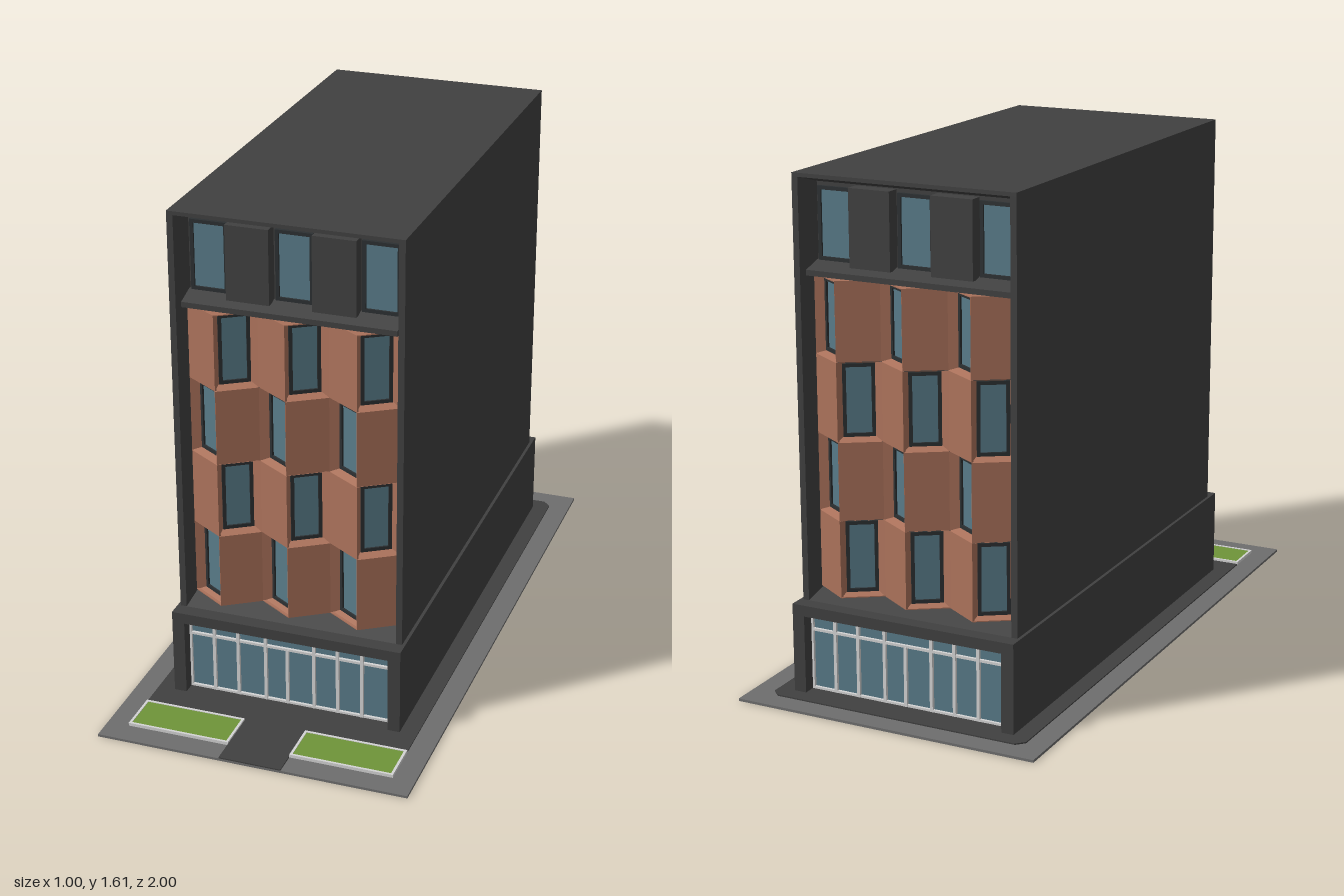
import * as THREE from 'three';

const mat = (name, color, side = THREE.FrontSide) =>
  Object.assign(new THREE.MeshStandardMaterial({ color, side }), { name });

const CZ = -0.093;     // middle of the building in z
const FRAME = 0.738;   // half depth of the upper block
const BASE = 0.785;    // half depth of the ground floor
const Y0 = 0.325, ROW = 0.245, ROWS = 4;
const HALF = 0.1117, RISE = 0.072;  // half pleat width and pleat height
const RIDGE = FRAME + 0.01, VALLEY = RIDGE - RISE;

export function createModel() {
  const M = {
    wall: mat('charcoal wall', 0x404040),
    lining: mat('charcoal lining', 0x404040, THREE.DoubleSide),
    frame: mat('dark window frame', 0x2c3032),
    clay: mat('terracotta', 0xaa715a),
    clayOpen: mat('terracotta reveal', 0xaa715a, THREE.DoubleSide),
    glass: mat('blue glass', 0x587a88),
    white: mat('white metal', 0xd4d4d4),
    paving: mat('grey paving', 0x6e6e6e),
    grass: mat('grass', 0x6f9439),
  };
  const model = new THREE.Group();

  const add = (parent, name, geo, material, x = 0, y = 0, z = 0) => {
    const m = new THREE.Mesh(geo, material);
    m.name = name;
    m.position.set(x, y, z);
    parent.add(m);
    return m;
  };
  // box given by its limits on each axis
  const box = (parent, name, material, x0, x1, y0, y1, z0, z1) =>
    add(parent, name, new THREE.BoxGeometry(x1 - x0, y1 - y0, z1 - z0), material,
      (x0 + x1) / 2, (y0 + y1) / 2, (z0 + z1) / 2);

  const polygon = pts => new THREE.Shape(pts.map(p => new THREE.Vector2(...p)));
  const rect = (x0, x1, y0, y1) => [[x0, y0], [x1, y0], [x1, y1], [x0, y1]];

  // four-sided lining from a front rectangle to a rear rectangle
  const liningGeo = (front, zf, rear, zr) => {
    const pos = [];
    for (let i = 0; i < 4; i++) {
      const j = (i + 1) % 4;
      const a = [...front[i], zf], b = [...front[j], zf];
      const c = [...rear[j], zr], d = [...rear[i], zr];
      pos.push(...a, ...b, ...c, ...a, ...c, ...d);
    }
    const g = new THREE.BufferGeometry();
    g.setAttribute('position', new THREE.Float32BufferAttribute(pos, 3));
    g.computeVertexNormals();
    return g;
  };

  // rectangular rim with an open middle, front face at z = depth
  const rimGeo = (w, h, t, depth) => {
    const s = polygon(rect(-w / 2, w / 2, -h / 2, h / 2));
    s.holes.push(new THREE.Path(
      rect(-w / 2 + t, w / 2 - t, -h / 2 + t, h / 2 - t).map(p => new THREE.Vector2(...p))));
    return new THREE.ExtrudeGeometry(s, { depth, bevelEnabled: false });
  };

  const windowUnit = (parent, w, h, x, y, z) => {
    const g = new THREE.Group();
    g.name = 'window';
    g.position.set(x, y, z);
    add(g, 'windowRim', rimGeo(w, h, 0.011, 0.01), M.frame);
    add(g, 'windowPane', new THREE.BoxGeometry(w - 0.01, h - 0.01, 0.006), M.glass, 0, 0, 0.001);
    parent.add(g);
  };

  // one pleated bay face: s = -1 faces left, s = 1 faces right
  const bayFace = (parent, x, y, s, hasWindow) => {
    const g = new THREE.Group();
    const L = Math.hypot(HALF, RISE);
    g.name = hasWindow ? 'windowBay' : 'claddingBay';
    g.position.set(x + s * HALF / 2, y, (RIDGE + VALLEY) / 2);
    g.rotation.y = s * Math.atan2(RISE, HALF);
    if (hasWindow) {
      const w = L - 0.036, h = ROW - 0.02;
      add(g, 'reveal', liningGeo(rect(-L / 2, L / 2, -ROW / 2, ROW / 2), 0,
        rect(-w / 2, w / 2, -h / 2, h / 2), -0.03), M.clayOpen);
      windowUnit(g, w, h, 0, 0, -0.034);
    } else {
      add(g, 'claddingPanel', new THREE.BoxGeometry(L, ROW - 0.002, 0.006), M.clay, 0, 0, -0.003);
    }
    parent.add(g);
  };

  const facade = (name, flip) => {
    const f = new THREE.Group();
    f.name = name;
    f.position.z = CZ;
    f.rotation.y = flip ? Math.PI : 0;

    // splayed lining of the big recess
    add(f, 'recessLining', liningGeo(rect(-0.345, 0.345, 0.295, 1.6), FRAME,
      rect(-0.335, 0.335, Y0, 1.575), FRAME - 0.09), M.lining);

    // pleated terracotta cladding, windows swapping sides on every row
    for (let r = 0; r < ROWS; r++)
      for (const c of [-1, 0, 1])
        for (const s of [-1, 1])
          bayFace(f, c * 2 * HALF, Y0 + (r + 0.5) * ROW, s,
            ((r % 2 === 1) === (s === 1)) !== flip);

    // zigzag caps closing the pleats at top and bottom
    const zig = [[3 * HALF, -(VALLEY - 0.05)], [-3 * HALF, -(VALLEY - 0.05)]];
    for (let i = -3; i <= 3; i++) zig.push([i * HALF, -(i % 2 === 0 ? RIDGE : VALLEY)]);
    for (const y of [Y0, Y0 + ROWS * ROW - 0.003]) {
      const g = new THREE.ExtrudeGeometry(polygon(zig), { depth: 0.003, bevelEnabled: false });
      add(f, 'pleatCap', g.rotateX(-Math.PI / 2), M.clay, 0, y, 0);
    }

    // sloping ledge below the top floor
    const sill = polygon([[-(FRAME - 0.1), 1.305], [-(FRAME - 0.1), 1.342],
      [-(FRAME - 0.085), 1.342], [-(FRAME - 0.02), 1.322], [-(FRAME - 0.02), 1.305]]);
    const sillGeo = new THREE.ExtrudeGeometry(sill, { depth: 0.672, bevelEnabled: false });
    add(f, 'ledge', sillGeo.rotateY(Math.PI / 2), M.wall, -0.336, 0, 0);

    // top floor
    box(f, 'topFloorWall', M.wall, -0.345, 0.345, 1.305, 1.6, FRAME - 0.17, FRAME - 0.09);
    for (const x of [-0.268, 0, 0.268]) windowUnit(f, 0.118, 0.222, x, 1.453, FRAME - 0.088);
    for (const x of [-0.135, 0.135])
      box(f, 'topFloorPier', M.wall, x - 0.068, x + 0.068, 1.335, 1.572, FRAME - 0.09, FRAME - 0.045);

    // ground floor opening
    for (const s of [-1, 1])
      add(f, 'baseJamb', new THREE.BoxGeometry(0.04, 0.295, 0.055), M.wall, s * 0.355, 0.1475, BASE - 0.0275);
    box(f, 'baseLintel', M.wall, -0.335, 0.335, 0.26, 0.295, BASE - 0.055, BASE);
    box(f, 'shopGlass', M.glass, -0.335, 0.335, 0.012, 0.26, BASE - 0.055, BASE - 0.049);
    add(f, 'shopRim', rimGeo(0.67, 0.248, 0.007, 0.012), M.white, 0, 0.136, BASE - 0.052);
    box(f, 'shopTransom', M.white, -0.335, 0.335, 0.202, 0.21, BASE - 0.052, BASE - 0.04);
    for (const x of [-0.252, -0.172, -0.08, -0.008, 0.08, 0.158, 0.238])
      box(f, 'shopMullion', M.white, x - 0.005, x + 0.005, 0.012, x === -0.008 ? 0.205 : 0.258,
        BASE - 0.052, BASE - 0.039);
    model.add(f);
  };

  // site
  box(model, 'groundSlab', M.paving, -0.5, 0.5, 0, 0.008, -1, 1);
  const pathShape = polygon([[-0.43, -0.78], [-0.1, -0.78], [-0.1, -1], [0.1, -1], [0.1, -0.78],
    [0.43, -0.78], [0.43, 0.905], [0.405, 0.93], [-0.405, 0.93], [-0.43, 0.905]]);
  const pathGeo = new THREE.ExtrudeGeometry(pathShape, { depth: 0.004, bevelEnabled: false });
  add(model, 'darkPath', pathGeo.rotateX(-Math.PI / 2), M.wall, 0, 0.008, 0);
  for (const s of [-1, 1]) {
    const kerb = rimGeo(0.33, 0.14, 0.008, 0.01).rotateX(-Math.PI / 2);
    add(model, 'lawnKerb', kerb, M.white, s * 0.265, 0.008, 0.855);
    add(model, 'lawn', new THREE.BoxGeometry(0.316, 0.008, 0.126), M.grass, s * 0.265, 0.012, 0.855);
  }

  // main volumes
  box(model, 'baseBlock', M.wall, -0.375, 0.375, 0.004, 0.295, CZ - BASE + 0.055, CZ + BASE - 0.055);
  box(model, 'core', M.wall, -0.346, 0.346, 0.295, 1.6, CZ - FRAME + 0.17, CZ + FRAME - 0.17);
  box(model, 'roof', M.wall, -0.365, 0.365, 1.6, 1.612, CZ - FRAME, CZ + FRAME);
  for (const s of [-1, 1])
    add(model, 'sideWall', new THREE.BoxGeometry(0.02, 1.305, 2 * FRAME), M.wall, s * 0.355, 0.9475, CZ);

  facade('frontFacade', false);
  facade('backFacade', true);
  return model;
}
